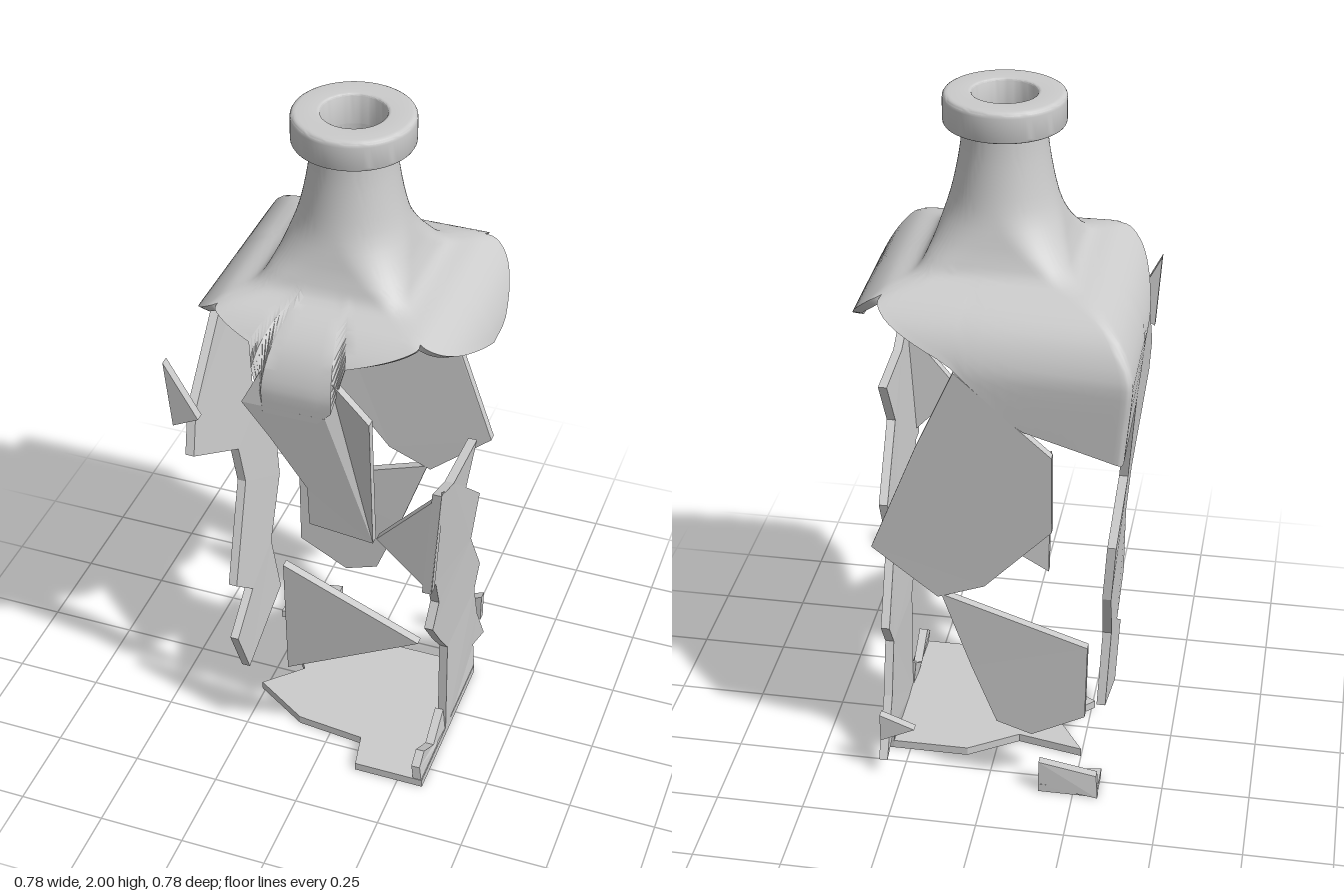
import * as THREE from 'three';
import { toCreasedNormals } from 'three/addons/utils/BufferGeometryUtils.js';

const WALL = 0.025;
const FRONT = 0, RIGHT = 1, BACK = 2, LEFT = 3;
const UP = new THREE.Vector3(0, 1, 0);

// bottle profile, top to bottom: half width, height
const profile = new THREE.SplineCurve([
  [0.11, 1.93], [0.117, 1.85], [0.136, 1.75], [0.162, 1.66], [0.183, 1.6], [0.212, 1.555], [0.285, 1.53],
  [0.35, 1.475], [0.388, 1.395], [0.389, 1.32], [0.372, 1.13], [0.335, 0.65], [0.316, 0.1], [0.326, 0],
].map(p => new THREE.Vector2(...p)));

// profile parameter at a height
function paramAt(y) {
  let lo = 0, hi = 1;
  for (let i = 0; i < 30; i++) {
    const mid = (lo + hi) / 2;
    if (profile.getPoint(mid).y > y) lo = mid; else hi = mid;
  }
  return (lo + hi) / 2;
}
const halfWidth = y => profile.getPoint(paramAt(y)).x;

// the section turns from a circle at the neck to a nearly sharp square at the shoulder
const cornerRadius = (w, y) => THREE.MathUtils.lerp(0.02, w, THREE.MathUtils.smoothstep(y, 1.5, 1.72));

// point on a rounded square, u from -1 to 1 along one side
function roundedSquare(side, u, w, r, y) {
  const core = w - r;
  const q = new THREE.Vector2(u * w, w);
  const c = new THREE.Vector2(THREE.MathUtils.clamp(q.x, -core, core), core);
  q.sub(c).setLength(r).add(c);
  return new THREE.Vector3(q.x, y, q.y).applyAxisAngle(UP, side * Math.PI / 2);
}

// broken lower edge of the neck piece: [perimeter position, height],
// running front, right (+x), back, left (-x), two units per side
const cut = [
  [0, 1.53], [0.6, 1.475], [0.66, 1.3], [1.18, 1.3], [1.24, 1.46], [2, 1.53], [3, 1.38], [3.25, 1.38],
  [4, 1.53], [4.78, 1.4], [5.25, 1.22], [6, 1.13], [6.66, 1.2], [6.76, 1.35], [7.06, 1.38], [8, 1.53],
];
function cutAt(s) {
  const i = Math.max(1, cut.findIndex(p => p[0] >= s));
  const [a, b] = [cut[i - 1], cut[i]];
  return THREE.MathUtils.mapLinear(s, a[0], b[0], a[1], b[1]);
}

// neck and shoulder: outer skin down to the broken edge, then inner skin back up
function neckGeometry() {
  const cols = 32, total = cols * 4, neckRows = 14, lastRow = 30;
  const rows = (lastRow + 1) * 2;
  const start = paramAt(1.6);
  const pos = [], index = [];
  for (let j = 0; j <= total; j++) {
    const side = Math.min(3, Math.floor(j / cols));
    const u = Math.sin((j / cols - side - 0.5) * Math.PI);
    const end = paramAt(cutAt(side * 2 + 1 + u));
    const outer = [], inner = [];
    for (let i = 0; i <= lastRow; i++) {
      const t = i <= neckRows ? start * i / neckRows
        : THREE.MathUtils.mapLinear(i, neckRows, lastRow, start, end);
      const p = profile.getPoint(t), d = profile.getTangent(t);
      const r = cornerRadius(p.x, p.y);
      const w = p.x + WALL * d.y;
      outer.push(roundedSquare(side, u, p.x, r, p.y));
      inner.push(roundedSquare(side, u, w, Math.min(w, Math.max(r - WALL, 0.008)), p.y - WALL * d.x));
    }
    for (const p of [...outer, ...inner.reverse()]) pos.push(p.x, p.y, p.z);
  }
  for (let j = 0; j < total; j++) {
    for (let i = 0; i < rows - 1; i++) {
      const a = j * rows + i, b = a + rows;
      index.push(a, a + 1, b + 1, a, b + 1, b);
    }
  }
  const g = new THREE.BufferGeometry();
  g.setAttribute('position', new THREE.Float32BufferAttribute(pos, 3));
  g.setIndex(index);
  return toCreasedNormals(g, 0.6);
}

// flat slab of wall thickness with the given outline
function slab(points) {
  const shape = new THREE.Shape(points.map(p => new THREE.Vector2(...p)));
  return new THREE.ExtrudeGeometry(shape, { depth: WALL, bevelEnabled: false });
}

// shard of one side wall, outlined as [x or z, y] and leaned to the profile
function shardGeometry(side, points) {
  const sign = side === FRONT || side === LEFT ? 1 : -1;
  const g = slab(points.map(([a, y]) => [a * sign, y]));
  const p = g.attributes.position;
  for (let i = 0; i < p.count; i++) p.setZ(i, p.getZ(i) + halfWidth(p.getY(i)) - WALL);
  g.rotateY(side * Math.PI / 2);
  g.computeVertexNormals();
  return g;
}

export function createModel() {
  const model = new THREE.Group();
  const material = new THREE.MeshStandardMaterial({ color: 0xcccccc, side: THREE.DoubleSide });
  const add = (name, geometry) => {
    const mesh = new THREE.Mesh(geometry, material);
    mesh.name = name;
    model.add(mesh);
  };
  const addShard = (name, side, ...points) => add(name, shardGeometry(side, points));
  const addFloor = (name, ...points) =>
    add(name, slab(points).rotateX(Math.PI / 2).translate(0, WALL, 0));

  // lip around the mouth: a rounded band with a bore
  const band = new THREE.Path();
  band.moveTo(0.085, 1.915);
  band.lineTo(0.15, 1.915);
  band.quadraticCurveTo(0.162, 1.915, 0.162, 1.927);
  band.lineTo(0.162, 1.984);
  band.quadraticCurveTo(0.162, 2, 0.146, 2);
  band.lineTo(0.095, 2);
  band.quadraticCurveTo(0.085, 2, 0.085, 1.99);
  band.closePath();
  add('lip', toCreasedNormals(new THREE.LatheGeometry(band.getPoints(4), 64), 0.75));

  add('neckAndShoulder', neckGeometry());

  // front wall
  addShard('frontUpperShard', FRONT, [-0.12, 1.42], [-0.17, 1.32], [-0.1, 1.22], [0, 1.06], [0, 0.93],
    [0.18, 0.91], [0.18, 1.33], [0.07, 1.43], [0.06, 1.32], [-0.11, 1.32]);
  addShard('frontTriangleShard', FRONT, [-0.085, 0.745], [-0.085, 0.345], [0.305, 0.565]);
  addShard('frontCornerShard', FRONT, [0.373, 1.14], [0.19, 0.93], [0.344, 0.77]);
  addShard('frontCornerSplinter', FRONT, [-0.388, 1.39], [-0.375, 1.18], [-0.3, 1.22]);

  // right wall, standing on the floor
  addShard('rightUpperShard', RIGHT, [0.373, 1.14], [0.25, 1.09], [0.04, 1.08], [0.09, 0.95], [-0.1, 0.78],
    [-0.06, 0.64], [0.28, 0.58], [0.24, 0.65], [0.3, 0.77], [0.345, 0.77]);
  addShard('rightMiddleShard', RIGHT, [0.28, 0.58], [-0.06, 0.64], [-0.2, 0.43], [-0.16, 0.36],
    [0.1, 0.355], [0.18, 0.45]);
  addShard('rightLowerShard', RIGHT, [0.1, 0.355], [-0.16, 0.36], [-0.22, 0.21], [-0.315, 0.05],
    [-0.2, 0.1], [-0.19, 0], [0.1, 0]);
  addShard('rightCornerShard', RIGHT, [0.325, 0], [0.32, 0.07], [0.28, 0.1], [0.19, 0.04], [0.1, 0.1], [0.1, 0]);

  // back wall
  addShard('backUpperShard', BACK, [0.07, 1.38], [0.18, 1.13], [0.31, 0.8], [0.13, 0.65], [0, 0.7],
    [-0.185, 0.9], [-0.185, 1.14], [-0.1, 1.22]);
  addShard('backLowerShard', BACK, [0.12, 0.66], [-0.285, 0.52], [-0.28, 0.28], [-0.13, 0.2],
    [-0.03, 0.235], [0.04, 0.42]);
  addShard('backLowSplinter', BACK, [0.31, 0.21], [0.21, 0.17], [0.31, 0.12]);
  addShard('backCornerShard', BACK, [-0.322, 0], [-0.316, 0.07], [-0.15, 0.1], [-0.15, 0.02]);

  // left wall
  addShard('leftUpperShard', LEFT, [0.03, 1.38], [0.28, 1.17], [0.33, 1.05], [0.06, 0.88], [-0.06, 0.92],
    [-0.13, 1.2], [-0.1, 1.34]);
  addShard('leftMiddleShard', LEFT, [0.06, 0.88], [0.04, 0.75], [0.17, 0.46], [0.06, 0.36], [-0.1, 0.42],
    [-0.2, 0.6], [-0.2, 0.77], [-0.06, 0.92]);
  addShard('leftLowerShard', LEFT, [0.06, 0.36], [0.19, 0.27], [0.12, 0.1], [-0.15, 0.2], [-0.1, 0.42]);

  // broken floor, outlined as [x, z]
  addFloor('floor', [0.325, 0.325], [0.12, 0.325], [0.1, 0.22], [-0.1, 0.2], [-0.26, 0.1], [-0.16, 0],
    [-0.25, -0.14], [-0.06, -0.1], [0.08, -0.19], [0.325, -0.19]);
  addFloor('floorCorner', [-0.32, -0.32], [-0.15, -0.32], [-0.2, -0.24], [-0.32, -0.22]);
  return model;
}
